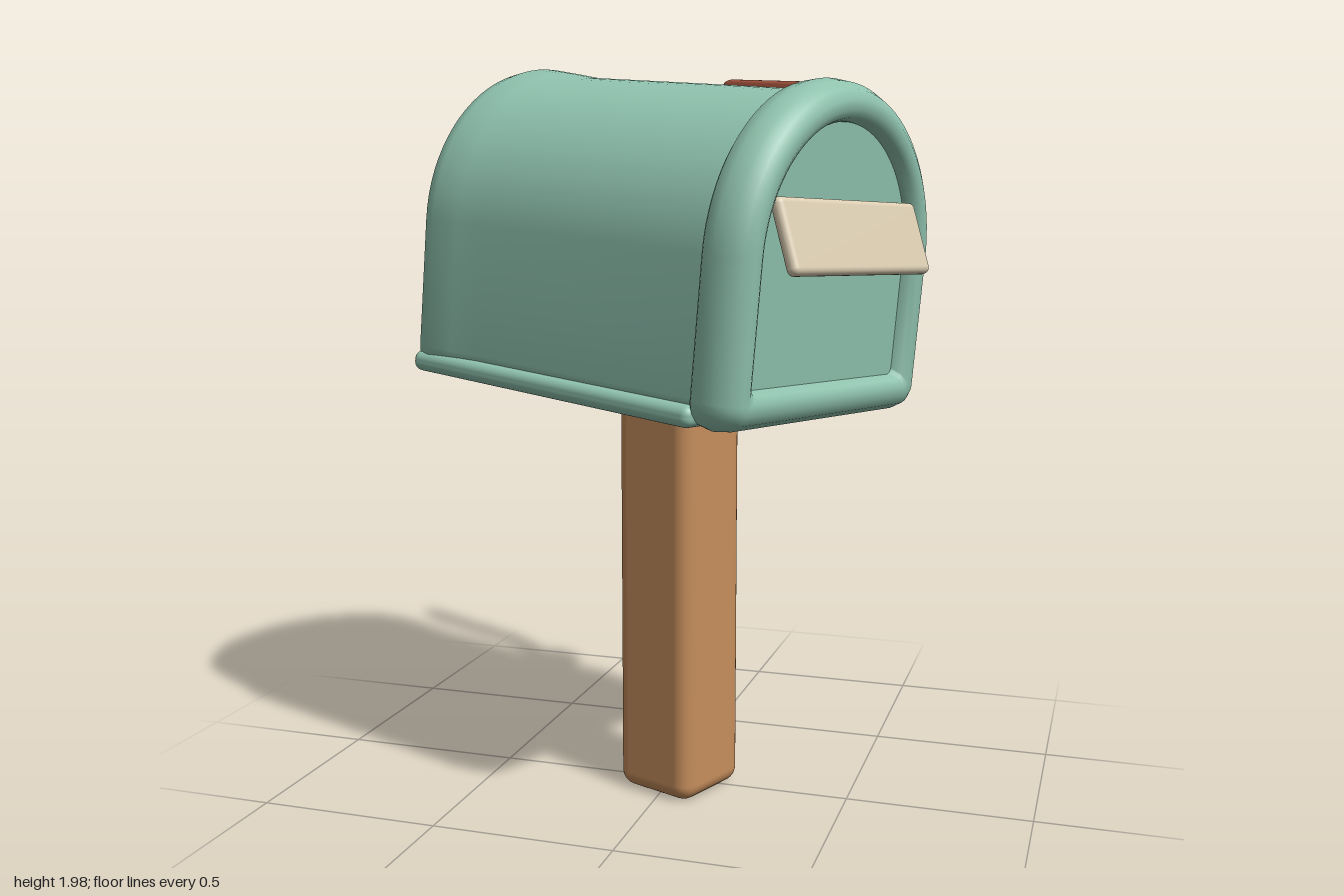
import * as THREE from 'three';
import { toCreasedNormals } from 'three/addons/utils/BufferGeometryUtils.js';
import { RoundedBoxGeometry } from 'three/addons/geometries/RoundedBoxGeometry.js';

const material = (name, color) => {
  const m = new THREE.MeshStandardMaterial({ color });
  m.name = name;
  return m;
};

const mesh = (name, geometry, mat, parent) => {
  const m = new THREE.Mesh(geometry, mat);
  m.name = name;
  parent.add(m);
  return m;
};

// Arched cross-section, inset by d: rounded bottom corners, round top; [y, z] pairs
function archRing(d) {
  const w = 0.43 - d, r = Math.max(0.07 - d, 0.02), ring = [];
  const arc = (cz, cy, rad, from, to, n) => {
    for (let i = 0; i <= n; i++) {
      const a = (from + ((to - from) * i) / n) * Math.PI;
      ring.push([cy + rad * Math.sin(a), cz + rad * Math.cos(a)]);
    }
  };
  arc(w - r, d + r, r, -0.5, 0, 6);
  arc(0, 0.41, w, 0, 1, 40);
  arc(r - w, d + r, r, 1, 1.5, 6);
  return ring;
}

// Loft of arch rings along x; sections are [x, inset], with optional end caps
function archLoft(sections, capBack, capFront) {
  const pos = [], index = [];
  let n = 0;
  for (const [x, d] of sections) {
    const ring = archRing(d);
    n = ring.length;
    for (const [y, z] of ring) pos.push(x, y, z);
  }
  for (let i = 0; i < sections.length - 1; i++) {
    for (let j = 0; j < n; j++) {
      const k = (j + 1) % n, a = i * n, b = a + n;
      index.push(a + j, b + j, a + k, a + k, b + j, b + k);
    }
  }
  const cap = (s, front) => {
    const c = pos.length / 3;
    pos.push(sections[s][0], 0.4, 0);
    for (let j = 0; j < n; j++) {
      const p = s * n + j, q = s * n + ((j + 1) % n);
      index.push(c, front ? q : p, front ? p : q);
    }
  };
  if (capBack) cap(0, false);
  if (capFront) cap(sections.length - 1, true);
  const g = new THREE.BufferGeometry();
  g.setAttribute('position', new THREE.Float32BufferAttribute(pos, 3));
  g.setIndex(index);
  return toCreasedNormals(g, 0.75);
}

// L-shaped signal flag with a round boss at its foot, origin at the boss centre
function flagGeometry() {
  const s = new THREE.Shape();
  s.moveTo(0.04, 0.06);
  s.lineTo(0.04, 0.47);
  s.quadraticCurveTo(0.04, 0.5, 0.01, 0.5);
  s.lineTo(-0.4, 0.5);
  s.quadraticCurveTo(-0.43, 0.5, -0.43, 0.47);
  s.lineTo(-0.43, 0.35);
  s.quadraticCurveTo(-0.43, 0.32, -0.4, 0.32);
  s.lineTo(-0.07, 0.32);
  s.quadraticCurveTo(-0.05, 0.32, -0.05, 0.29);
  s.lineTo(-0.05, 0.05);
  s.absarc(0, 0, 0.068, Math.PI * 0.75, Math.PI * 2.25, false);
  const g = new THREE.ExtrudeGeometry(s, {
    depth: 0.034, bevelThickness: 0.014, bevelSize: 0.012, bevelSegments: 3, curveSegments: 10,
  });
  g.translate(0, 0, -0.017);
  return toCreasedNormals(g, 0.7);
}

// Split triangles into two material groups by a rule on face normal and centre
function splitFaces(g, rule) {
  const p = g.attributes.position, nor = g.attributes.normal;
  const sets = [[], []];
  const v = [0, 1, 2].map(() => new THREE.Vector3());
  for (let i = 0; i < p.count; i += 3) {
    v.forEach((q, k) => q.fromBufferAttribute(p, i + k));
    const centre = v[0].clone().add(v[1]).add(v[2]).divideScalar(3);
    const n = v[1].clone().sub(v[0]).cross(v[2].clone().sub(v[0])).normalize();
    sets[rule(n, centre) ? 1 : 0].push(i, i + 1, i + 2);
  }
  const out = new THREE.BufferGeometry();
  out.setAttribute('position', p);
  out.setAttribute('normal', nor);
  out.setIndex([...sets[0], ...sets[1]]);
  out.addGroup(0, sets[0].length, 0);
  out.addGroup(sets[0].length, sets[1].length, 1);
  return out;
}

export function createModel() {
  const green = material('sageGreen', 0x8fc2ae);
  const wood = material('warmWood', 0xc68e5c);
  const red = material('brickRed', 0xa8553f);
  const cream = material('cream', 0xdbcdb2);
  const stone = material('paleStone', 0xbdb59f);

  const model = new THREE.Group();
  model.name = 'mailbox';
  const yaw = -0.375;

  // Post
  const post = mesh('post', new RoundedBoxGeometry(0.25, 1.14, 0.25, 4, 0.045), wood, model);
  post.position.set(0.027, 0.57, 0.02);
  post.rotation.y = yaw;

  // Box, turned and tipped forward on the post
  const box = new THREE.Group();
  box.name = 'box';
  box.position.set(0, 1.107, 0);
  box.rotation.set(0, yaw, -0.082, 'ZYX');
  model.add(box);

  mesh('body', archLoft([
    [-0.545, 0.078], [-0.56, 0.07], [-0.572, 0.048], [-0.568, 0.025], [-0.55, 0.008],
    [-0.515, 0], [-0.43, 0.008], [-0.34, 0.018], [0.4, 0.025],
  ], true, false), green, box);

  mesh('frontRim', archLoft([
    [0.385, 0.04], [0.385, 0.012], [0.395, 0.002], [0.43, -0.004], [0.47, 0.002], [0.5, 0.02],
    [0.516, 0.045], [0.516, 0.07], [0.505, 0.088], [0.485, 0.098], [0.47, 0.1],
  ], false, false), green, box);

  mesh('door', archLoft([[0.44, 0.095], [0.478, 0.095]], false, true), green, box);

  const base = mesh('baseLip', new RoundedBoxGeometry(0.965, 0.055, 0.87, 4, 0.024), green, box);
  base.position.set(-0.085, 0.028, 0);

  const handle = mesh('doorHandle', new RoundedBoxGeometry(0.036, 0.19, 0.62, 4, 0.017), cream, box);
  handle.position.set(0.53, 0.465, 0);
  handle.rotation.z = 0.4;

  // Signal flag on the right side
  const flag = new THREE.Group();
  flag.name = 'signalFlag';
  flag.position.set(0.33, 1.435, -0.35);
  flag.rotation.set(-0.07, -0.455, -0.08, 'ZYX');
  model.add(flag);

  // Red on the inner face, undersides, rear of the arm and rim of the boss
  const isRed = (n, c) => n.z > 0.5 || n.y < -0.4 ||
    (c.y < 0.05 && n.z > -0.5) || (n.x < -0.5 && c.x > -0.2);
  mesh('flagArm', splitFaces(flagGeometry(), isRed), [wood, red], flag);

  // Pivot bolt with a rounded cap
  const profile = [[0.066, 0], [0.066, 0.035], [0.06, 0.048], [0.048, 0.054], [0, 0.056]]
    .map(([x, y]) => new THREE.Vector2(x, y));
  const bolt = mesh('pivotBolt', toCreasedNormals(new THREE.LatheGeometry(profile, 28), 0.7), stone, flag);
  bolt.rotation.x = -Math.PI / 2;
  bolt.position.set(0, 0.02, -0.025);

  return model;
}
